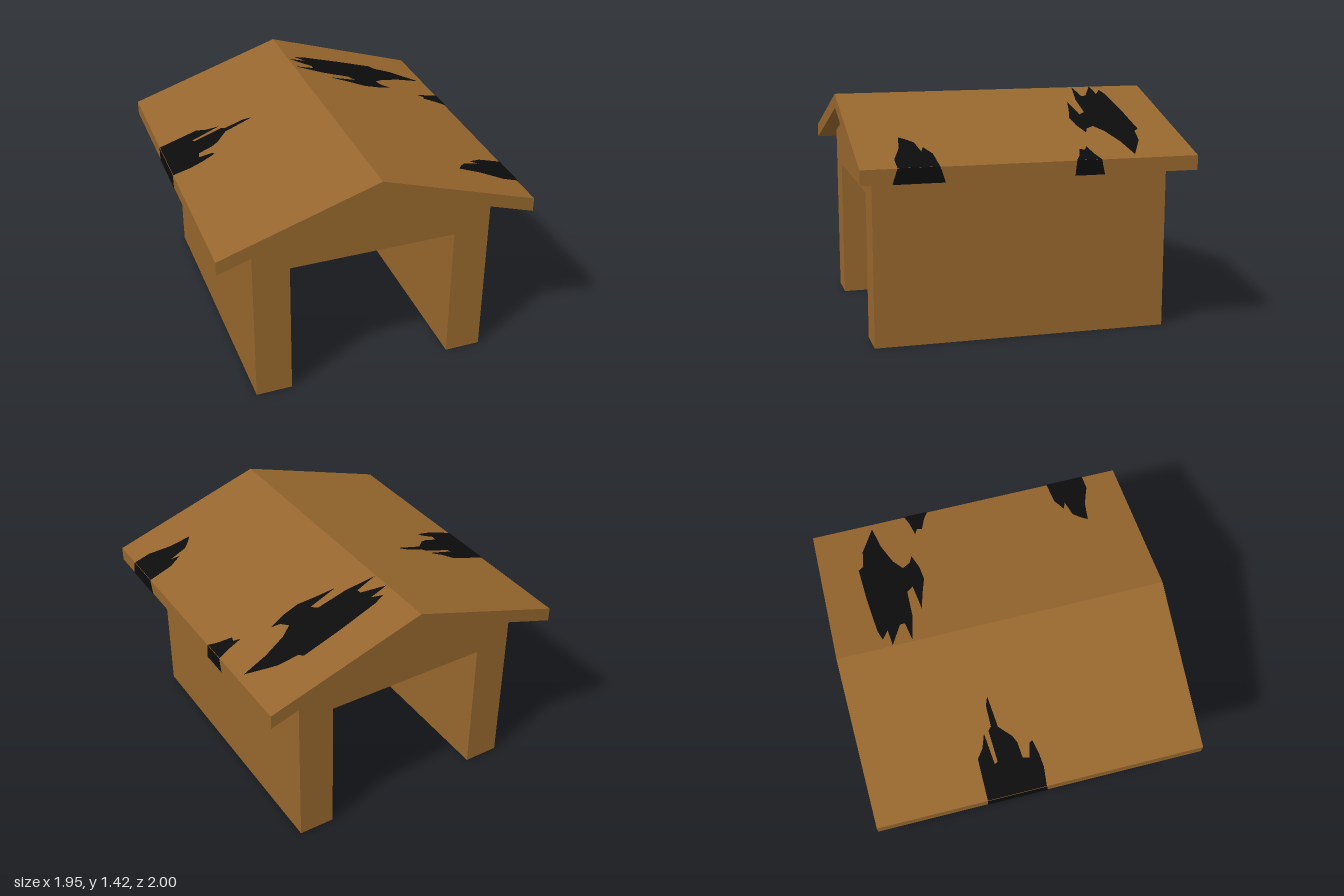
import * as THREE from 'three';

const EAVE = 0.97, PEAK = 1.415, SLOPE = 0.325, THICK = 0.087;
const WALL = 0.74, INNER = 0.515, LINTEL = 0.885, DEPTH = 1.8;
const roofY = (x) => PEAK - SLOPE * Math.abs(x);
const underY = (x) => roofY(x) - THICK;

const polygon = (pts) => new THREE.Shape(pts.map(([a, b]) => new THREE.Vector2(a, b)));

// Flat outline whose (u, v) points are placed in space by a rule
function plate(pts, place) {
  const geo = new THREE.ShapeGeometry(polygon(pts));
  const pos = geo.attributes.position;
  for (let i = 0; i < pos.count; i++) pos.setXYZ(i, ...place(pos.getX(i), pos.getY(i)));
  // Keep the corner order so that the plate faces away from the roof
  geo.computeVertexNormals();
  return geo;
}

export function createModel() {
  const wood = new THREE.MeshStandardMaterial({ color: 0x96662d, side: THREE.DoubleSide });
  wood.name = 'brown wood';
  const char = new THREE.MeshStandardMaterial({ color: 0x0c0c0c, side: THREE.DoubleSide });
  char.name = 'black patches';

  const model = new THREE.Group();
  model.name = 'shelter';
  const add = (parent, name, geo, mat) => {
    const mesh = new THREE.Mesh(geo, mat);
    mesh.name = name;
    parent.add(mesh);
    return mesh;
  };

  // Hollow walls, open at the foot
  const body = new THREE.Group();
  body.name = 'body';
  model.add(body);
  const gable = polygon([
    [INNER, 0], [WALL, 0], [WALL, underY(WALL)], [0, underY(0)],
    [-WALL, underY(WALL)], [-WALL, 0], [-INNER, 0], [-INNER, LINTEL], [INNER, LINTEL],
  ]);
  add(body, 'frontGable', new THREE.ShapeGeometry(gable), wood).position.z = DEPTH / 2;
  const back = add(body, 'backGable', new THREE.ShapeGeometry(gable), wood);
  back.position.z = -DEPTH / 2;
  back.rotation.y = Math.PI;

  for (const s of [1, -1]) {
    const side = s > 0 ? 'left' : 'right';
    const outer = add(body, side + 'OuterWall', new THREE.PlaneGeometry(DEPTH, underY(WALL)), wood);
    outer.position.set(s * WALL, underY(WALL) / 2, 0);
    outer.rotation.y = s * Math.PI / 2;
    const inner = add(body, side + 'InnerWall', new THREE.PlaneGeometry(DEPTH, LINTEL), wood);
    inner.position.set(s * INNER, LINTEL / 2, 0);
    inner.rotation.y = -s * Math.PI / 2;
  }
  const ceiling = add(body, 'passageCeiling', new THREE.PlaneGeometry(2 * INNER, DEPTH), wood);
  ceiling.position.y = LINTEL;
  ceiling.rotation.x = Math.PI / 2;

  // Pitched roof slab
  const roof = new THREE.ExtrudeGeometry(polygon([
    [-EAVE, underY(EAVE)], [0, underY(0)], [EAVE, underY(EAVE)],
    [EAVE, roofY(EAVE)], [0, PEAK], [-EAVE, roofY(EAVE)],
  ]), { depth: 2, bevelEnabled: false });
  add(model, 'roof', roof.translate(0, 0, -1), wood);

  // Jagged black patches on the slopes, as (x, z) outlines
  const patches = new THREE.Group();
  patches.name = 'roofPatches';
  model.add(patches);
  const slopePatches = {
    largePatch: [
      [0.13, -0.73], [0.37, -0.75], [0.62, -0.76], [0.64, -0.73], [0.76, -0.71], [0.93, -0.62],
      [0.77, -0.59], [0.63, -0.54], [0.56, -0.49], [0.59, -0.44], [0.64, -0.42], [0.54, -0.39],
      [0.44, -0.38], [0.34, -0.41], [0.22, -0.44], [0.4, -0.46], [0.37, -0.5], [0.19, -0.505],
      [0.01, -0.54], [0.14, -0.56], [0.14, -0.59], [0.005, -0.66], [0.12, -0.67], [0.06, -0.71],
    ],
    smallEavePatch: [
      [0.97, -0.4], [0.91, -0.38], [0.81, -0.36], [0.85, -0.34], [0.84, -0.31], [0.92, -0.28],
      [0.97, -0.25],
    ],
    frontEavePatch: [
      [0.97, 0.55], [0.82, 0.56], [0.74, 0.6], [0.79, 0.62], [0.68, 0.64], [0.64, 0.68],
      [0.61, 0.72], [0.74, 0.74], [0.82, 0.77], [0.87, 0.79], [0.97, 0.79],
    ],
    rightEavePatch: [
      [-0.97, -0.33], [-0.73, -0.33], [-0.68, -0.29], [-0.6, -0.26], [-0.78, -0.24],
      [-0.77, -0.22], [-0.59, -0.23], [-0.57, -0.21], [-0.45, -0.21], [-0.4, -0.19],
      [-0.58, -0.17], [-0.61, -0.14], [-0.65, -0.1], [-0.69, -0.08], [-0.78, -0.07],
      [-0.79, -0.03], [-0.71, -0.01], [-0.7, 0.01], [-0.78, 0.03], [-0.86, 0.04], [-0.97, 0.03],
    ],
  };
  // Shape triangles run anticlockwise in (x, -z), which faces up
  for (const [name, pts] of Object.entries(slopePatches)) {
    const flipped = pts.map(([x, z]) => [x, -z]);
    add(patches, name, plate(flipped, (x, v) => [x, roofY(x) + 0.003, -v]), char);
  }

  // The eave patches run over the edge: z range at the top and at the bottom
  const edges = [
    ['smallEdgePatch', 1, -0.4, -0.25, -0.42, -0.24],
    ['frontEdgePatch', 1, 0.55, 0.79, 0.52, 0.82],
    ['rightEdgePatch', -1, -0.33, 0.03, -0.33, 0.04],
  ];
  for (const [name, s, t0, t1, b0, b1] of edges) {
    const top = roofY(EAVE) + 0.003, low = underY(EAVE);
    const outline = [[-s * b0, low], [-s * b1, low], [-s * t1, top], [-s * t0, top]];
    add(patches, name, plate(outline, (u, y) => [s * (EAVE + 0.003), y, -s * u]), char);
  }

  // Part of the front patch that wraps under the eave
  const under = [[0.97, 0.82], [0.9, 0.72], [0.83, 0.68], [0.74, 0.6], [0.74, 0.32], [0.86, 0.44], [0.97, 0.52]];
  add(patches, 'undersidePatch', plate(under, (x, z) => [x, underY(x) - 0.003, z]), char);

  return model;
}
